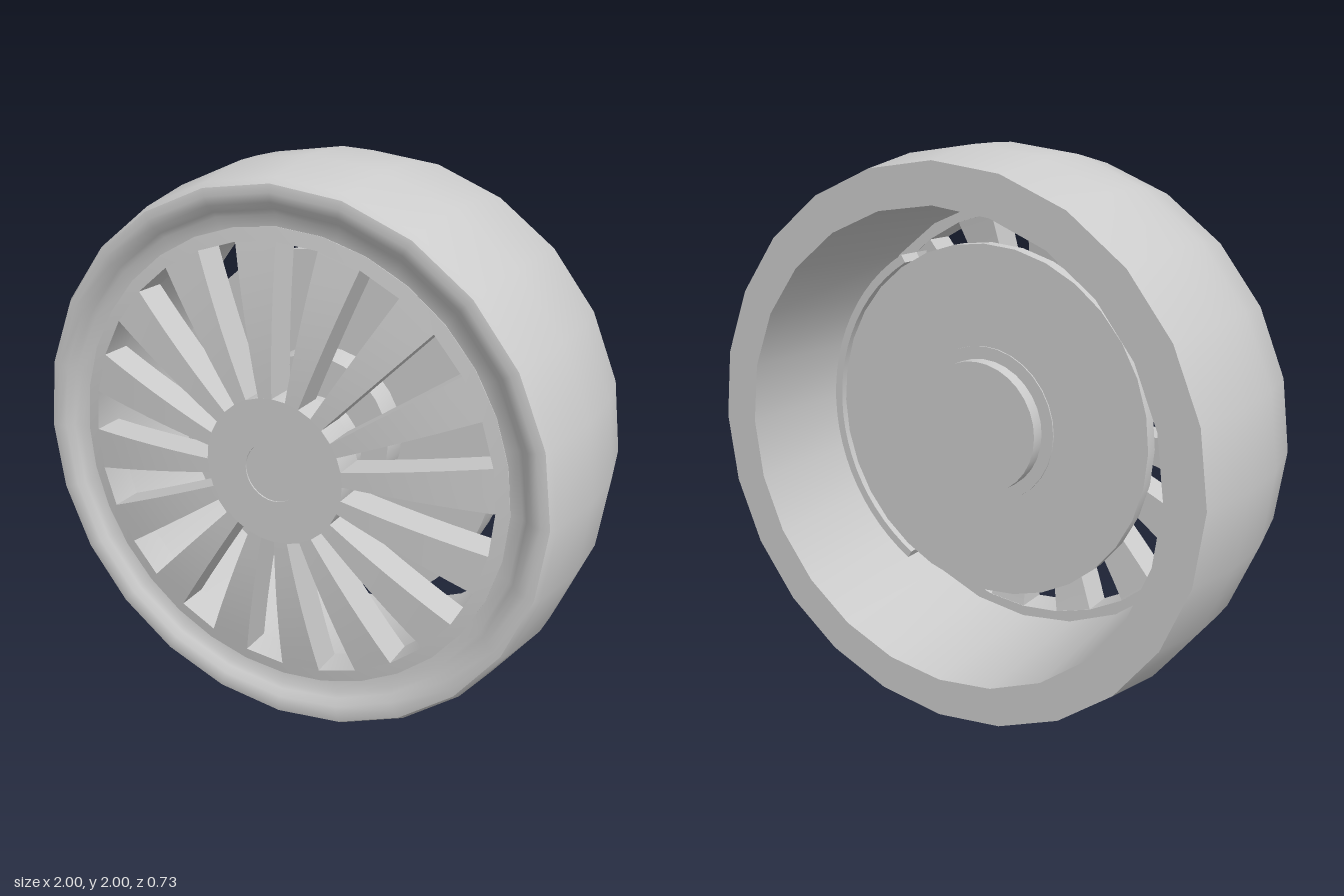
import * as THREE from 'three';
import { toCreasedNormals } from 'three/addons/utils/BufferGeometryUtils.js';

const material = new THREE.MeshStandardMaterial({ color: 0xcccccc });

function part(parent, name, geometry, crease = 0.5) {
  const mesh = new THREE.Mesh(toCreasedNormals(geometry, crease), material);
  mesh.name = name;
  parent.add(mesh);
  return mesh;
}

// Turn a profile of [radius, z] points around the wheel axis (z).
function turned(points, segments) {
  const profile = points.map(([r, z]) => new THREE.Vector2(r, z));
  return new THREE.LatheGeometry(profile, segments).rotateX(Math.PI / 2);
}

// Gently domed front of the wheel: z as a function of radius.
const faceZ = (r) => 0.365 - 0.05 * Math.pow(Math.max(0, r - 0.25) / 0.55, 2);

const HOLES = 16, STEP = Math.PI / HOLES;
const HUB_R = 0.257, RIM_R = 0.76, DEPTH = 0.12;

// One spoke: a box bent into a sector that follows the domed face.
function spokeGeometry(index) {
  const g = new THREE.BoxGeometry(1, 1, 1, 1, 6, 1);
  const p = g.attributes.position;
  for (let i = 0; i < p.count; i++) {
    const r = THREE.MathUtils.lerp(HUB_R, RIM_R, p.getY(i) + 0.5);
    const a = (2 * index + 1.5 + p.getX(i)) * STEP;
    const z = faceZ(r) + (p.getZ(i) - 0.5) * DEPTH;
    p.setXYZ(i, r * Math.sin(a), r * Math.cos(a), z);
  }
  return g;
}

export function createModel() {
  const model = new THREE.Group();
  model.name = 'wheel';
  const wheel = new THREE.Group();
  wheel.name = 'wheelAssembly';
  wheel.position.y = 1;
  model.add(wheel);

  // Tyre with a crowned tread, rounded front bead and flat back
  part(wheel, 'tyre', turned([
    [0.82, -0.365], [0.957, -0.365], [0.998, -0.13], [1, 0], [0.998, 0.1],
    [0.957, 0.33], [0.942, 0.353], [0.915, 0.358], [0.885, 0.35],
    [0.862, 0.33], [0.845, 0.318], [0.8, 0.312], [0.8, 0.2], [0.82, -0.365],
  ], 24), 0.6);

  // Outer rim ring that carries the spokes
  part(wheel, 'rimRing', turned([
    [RIM_R, 0.2], [0.81, 0.2], [0.805, faceZ(0.8)],
    [RIM_R, faceZ(RIM_R)], [RIM_R, 0.2],
  ], 32));

  // Hub with a small cap set into its middle
  part(wheel, 'hub', turned([
    [0, 0.245], [HUB_R, 0.245], [HUB_R, 0.365], [0.105, 0.365],
    [0.105, 0.36], [0, 0.36],
  ], 32));

  // Spokes
  for (let i = 0; i < HOLES; i++) part(wheel, 'spoke', spokeGeometry(i));

  // Brake, mounted slightly above the wheel centre
  const brake = new THREE.Group();
  brake.name = 'brake';
  brake.position.y = 0.042;
  wheel.add(brake);

  // Disc with a raised centre on both sides
  part(brake, 'brakeDisc', turned([
    [0, -0.125], [0.235, -0.125], [0.235, -0.075], [0.28, -0.075],
    [0.28, -0.07], [0.63, -0.07], [0.63, -0.02], [0.29, -0.02],
    [0.28, 0.07], [0, 0.07],
  ], 32));
  const axle = new THREE.CylinderGeometry(0.18, 0.18, 0.2, 24).rotateX(Math.PI / 2);
  part(brake, 'axle', axle.translate(0, -0.042, 0.16));

  // Caliper: a chord-cut front plate and a curved wall wrapping the disc edge
  const R = 0.662, half = Math.acos(0.335 / R);
  const plate = new THREE.Shape();
  plate.absarc(0, 0, R, -half, half, false);
  plate.closePath();
  const wall = new THREE.Shape();
  wall.absarc(0, 0, R, -half, half, false);
  wall.absarc(0, 0, R - 0.03, half, -half, true);
  wall.closePath();
  const extrude = (shape, z0, z1) => new THREE.ExtrudeGeometry(shape, {
    depth: z1 - z0, bevelEnabled: false, curveSegments: 12,
  }).translate(0, 0, z0);
  part(brake, 'caliperPlate', extrude(plate, 0, 0.06));
  part(brake, 'caliperWall', extrude(wall, -0.09, 0));

  return model;
}
